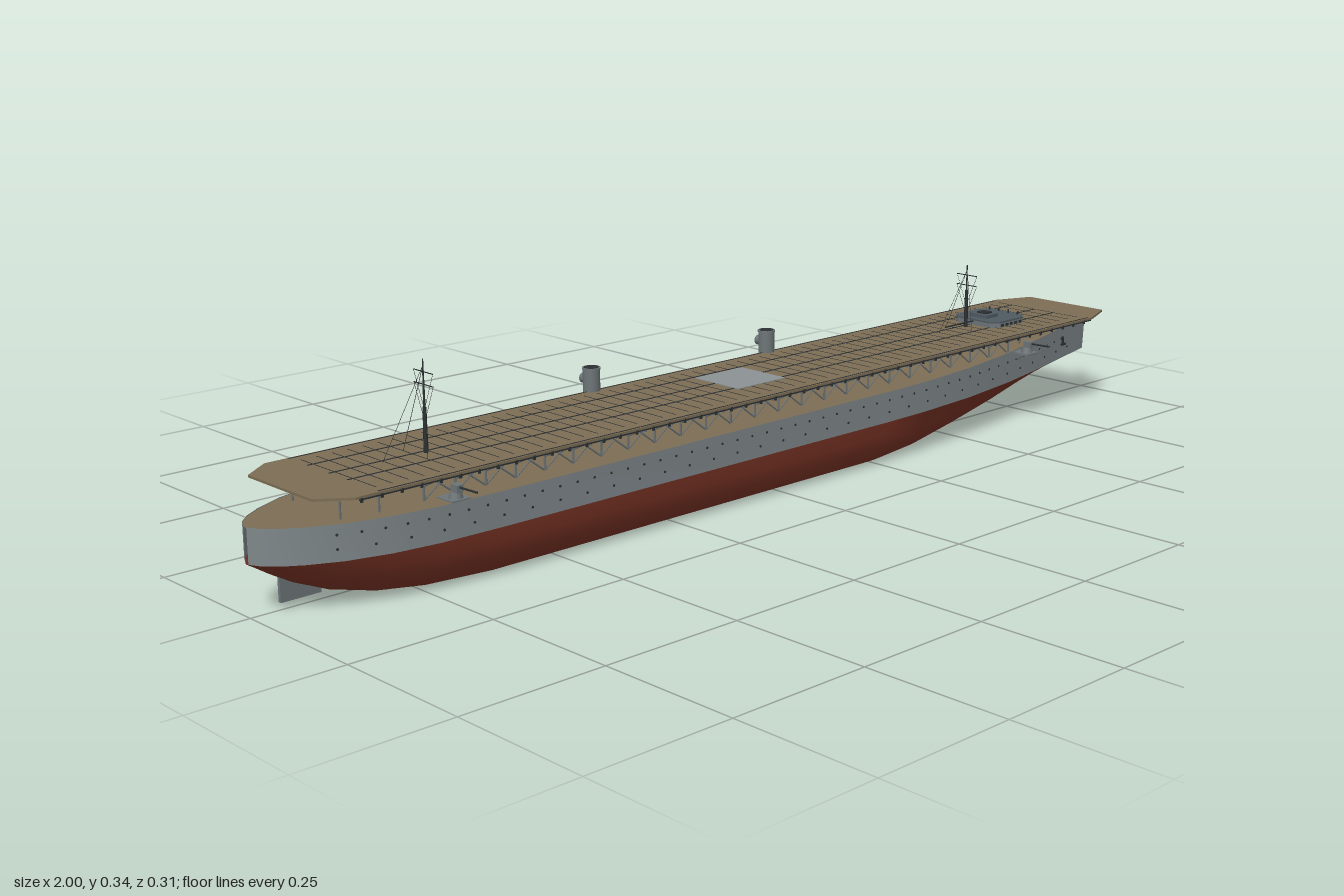
import * as THREE from 'three';
import { mergeGeometries } from 'three/addons/utils/BufferGeometryUtils.js';

const mat = (name, color, side = THREE.FrontSide) => {
  const m = new THREE.MeshStandardMaterial({ color, side });
  m.name = name;
  return m;
};
const V = (x, y, z) => new THREE.Vector3(x, y, z);

// Straight bar of slim section between two points
function bar(a, b, t = 0.003, sides = 4) {
  const d = b.clone().sub(a), g = new THREE.CylinderGeometry(t / 2, t / 2, d.length(), sides);
  g.applyQuaternion(new THREE.Quaternion().setFromUnitVectors(V(0, 1, 0), d.normalize()));
  return g.translate((a.x + b.x) / 2, (a.y + b.y) / 2, (a.z + b.z) / 2);
}
const box = (w, h, d, x, y, z) => new THREE.BoxGeometry(w, h, d).translate(x, y, z);
const cyl = (r1, r2, h, x, y, z, n = 20) => new THREE.CylinderGeometry(r1, r2, h, n).translate(x, y, z);

// Horizontal plate from an outline of [x, z] corners
function slab(points, h, y) {
  const shape = new THREE.Shape(points.map(([a, b]) => new THREE.Vector2(a, b)));
  return new THREE.ExtrudeGeometry(shape, { depth: h, bevelEnabled: false }).rotateX(-Math.PI / 2).translate(0, y, 0);
}

// Hull stations: x, half beam, keel height, sharpness of the section, sheer height
const WL = 0.083;
const STATIONS = [
  [-1, 0.004, 0.082, 0.6, 0.14], [-0.99, 0.024, 0.076, 0.6, 0.14], [-0.97, 0.044, 0.063, 0.5, 0.14],
  [-0.94, 0.064, 0.046, 0.45, 0.14], [-0.89, 0.088, 0.026, 0.35, 0.14], [-0.82, 0.107, 0.011, 0.2, 0.14],
  [-0.74, 0.117, 0.003, 0.1, 0.14], [-0.62, 0.12, 0, 0, 0.14], [0, 0.12, 0, 0, 0.14],
  [0.25, 0.12, 0, 0, 0.14], [0.36, 0.117, 0.005, 0.1, 0.14], [0.5, 0.106, 0.018, 0.3, 0.141],
  [0.65, 0.083, 0.035, 0.5, 0.143], [0.8, 0.05, 0.058, 0.75, 0.146], [0.9, 0.025, 0.074, 0.9, 0.148],
  [0.97, 0.008, 0.081, 1, 0.15], [0.995, 0.002, 0.0825, 1, 0.151],
];
const SECTION = [[0, 0], [0.35, 0], [0.66, 0.02], [0.8, 0.12], [0.91, 0.4], [0.97, 0.7], [1, 1]];

function loft(rings) {
  const n = rings[0].length, idx = [];
  for (let i = 0; i < rings.length - 1; i++)
    for (let j = 0; j < n - 1; j++) {
      const a = i * n + j, b = a + n;
      idx.push(a, b, a + 1, b, b + 1, a + 1);
    }
  const g = new THREE.BufferGeometry();
  g.setAttribute('position', new THREE.Float32BufferAttribute(rings.flat(2), 3));
  g.setIndex(idx);
  g.computeVertexNormals();
  return g;
}
function beamAt(x) {
  for (let i = 1; i < STATIONS.length; i++) {
    const a = STATIONS[i - 1], b = STATIONS[i];
    if (x <= b[0]) return a[1] + ((b[1] - a[1]) * (x - a[0])) / (b[0] - a[0]);
  }
  return 0;
}

export function createModel() {
  const root = new THREE.Group();
  const grey = mat('hull grey', 0x7f878a, THREE.DoubleSide);
  const red = mat('bottom red', 0x7d3526, THREE.DoubleSide);
  const tan = mat('deck tan', 0x7d6e55, THREE.DoubleSide);
  const dark = mat('dark fittings', 0x2c3032);
  const slate = mat('bridge slate', 0x4f5a61);
  const pale = mat('lift grey', 0x8c9294);
  const steel = mat('structure grey', 0x6d7578);
  const add = (name, geo, m) => {
    const list = [geo].flat().map(g => (g.index ? g.toNonIndexed() : g));
    const mesh = new THREE.Mesh(mergeGeometries(list), m);
    mesh.name = name;
    root.add(mesh);
  };

  // Hull: red bottom, grey topsides, weather deck
  add('hullBottom', loft(STATIONS.map(([x, w, k, v]) => {
    const half = SECTION.map(([s, t]) => [x, k + (WL - k) * t, w * (s + (t - s) * v)]);
    return [...half.slice(1).reverse().map(([a, b, c]) => [a, b, -c]), ...half];
  })), red);
  for (const s of [1, -1])
    add('hullSide', loft(STATIONS.map(([x, w, , , top]) => {
      const p = [[x, WL, s * w], [x + (x > 0.9 ? 0.005 : 0), top, s * w]];
      return s > 0 ? p : p.reverse();
    })), grey);
  add('weatherDeck', loft(STATIONS.map(([x, w, , , top]) => [[x, top - 0.001, w], [x, top - 0.001, -w]])), tan);

  // Portholes in two rows, anchors and rudder
  const ports = [], anchors = [];
  for (const s of [1, -1]) {
    for (const [y, step] of [[0.124, 0.035], [0.102, 0.055]])
      for (let x = -0.9; x < 0.92; x += step) {
        const slope = Math.atan2(beamAt(x + 0.01) - beamAt(x - 0.01), 0.02);
        ports.push(new THREE.CylinderGeometry(0.0022, 0.0022, 0.002, 8).rotateX(Math.PI / 2)
          .rotateY(-s * slope).translate(x, y, s * beamAt(x)));
      }
    anchors.push(box(0.004, 0.016, 0.004, 0.89, 0.12, s * (beamAt(0.89) + 0.002)),
      box(0.014, 0.004, 0.006, 0.89, 0.112, s * (beamAt(0.89) + 0.002)));
  }
  add('portholes', ports, dark);
  add('anchors', anchors, dark);
  add('rudder', [box(0.07, 0.045, 0.006, -0.915, 0.034, 0), box(0.012, 0.02, 0.008, -0.9, 0.06, 0)], steel);

  // Flight deck with cut corners
  add('flightDeck', slab([[-0.94, -0.085], [-0.89, -0.122], [0.86, -0.122], [0.935, -0.092],
    [0.935, 0.092], [0.86, 0.122], [-0.89, 0.122], [-0.94, 0.085]], 0.004, 0.183), tan);
  add('aircraftLift', box(0.115, 0.002, 0.11, -0.003, 0.1875, -0.004), pale);
  const lines = [];
  for (const z of [-0.066, -0.008, 0.04]) lines.push(box(1.69, 0.001, 0.003, -0.005, 0.1872, z));
  for (const z of [-0.118, 0.118]) lines.push(box(1.7, 0.001, 0.002, 0, 0.1872, z));
  for (let x = -0.84; x < 0.85; x += 0.028) lines.push(box(0.0012, 0.0006, 0.2, x, 0.1872, 0));
  add('deckLines', lines, dark);

  // Trusswork carrying the flight deck
  const truss = [], step = 0.058, y0 = 0.139, y1 = 0.183;
  for (let i = 0; i <= 24; i++) {
    const x = -0.74 + i * step;
    for (const s of [1, -1]) {
      const z = s * Math.min(0.075, beamAt(x) - 0.004);
      truss.push(bar(V(x, y0, z), V(x, y1, z), 0.005));
      truss.push(bar(V(x, 0.162, z), V(x, y1, s * 0.119), 0.003));
      if (i < 24) {
        const zn = s * Math.min(0.075, beamAt(x + step) - 0.004);
        truss.push(bar(V(x, y0, z), V(x + step, y1, zn)), bar(V(x, y1, z), V(x + step, y0, zn)));
      }
    }
    truss.push(box(0.004, 0.006, 0.238, x, 0.18, 0));
  }
  for (const s of [1, -1]) {
    truss.push(box(1.6, 0.006, 0.004, 0, 0.18, s * 0.075));
    // End supports
    for (const x of [-0.82, -0.88, 0.72, 0.8, 0.87]) {
      const z = beamAt(x) * 0.7;
      truss.push(bar(V(x, y0, s * z), V(x, y1, s * Math.max(z, 0.06)), 0.004));
    }
  }
  add('deckTruss', truss, steel);

  // Brackets and walkway rail along the flight deck edges
  const edge = [];
  for (const s of [1, -1]) {
    for (let x = -0.88; x < 0.87; x += 0.035) edge.push(box(0.004, 0.007, 0.003, x, 0.1805, s * 0.121));
    edge.push(box(1.74, 0.002, 0.002, -0.015, 0.182, s * 0.1225));
  }
  add('deckEdge', edge, dark);

  // Funnels on the right side with their ducts
  for (const x of [-0.245, 0.18]) {
    add('funnel', [cyl(0.015, 0.015, 0.063, x, 0.1965, -0.1215, 24), cyl(0.0162, 0.0162, 0.003, x, 0.2265, -0.1215, 24),
      new THREE.CylinderGeometry(0.009, 0.009, 0.012, 16).rotateX(Math.PI / 2).translate(x, 0.206, -0.138),
      box(0.02, 0.016, 0.04, x, 0.172, -0.1)], steel);
    add('funnelMouth', cyl(0.013, 0.013, 0.001, x, 0.2283, -0.1215), dark);
  }

  // Bridge with windows and lookout
  const octagon = [[0.635, -0.04], [0.65, -0.055], [0.72, -0.055], [0.74, -0.04], [0.74, 0.04],
    [0.72, 0.055], [0.65, 0.055], [0.635, 0.04]];
  add('bridgeHouse', slab(octagon, 0.034, 0.162), steel);
  add('bridgeRoof', [slab(octagon, 0.003, 0.196), box(0.035, 0.007, 0.04, 0.67, 0.2025, 0)], slate);
  add('bridgePedestal', box(0.03, 0.024, 0.02, 0.69, 0.151, 0), steel);
  const panes = [];
  for (let i = -3; i <= 3; i++) panes.push(box(0.002, 0.005, 0.007, 0.74, 0.191, i * 0.0108));
  for (const s of [1, -1])
    for (let i = 0; i < 5; i++) panes.push(box(0.008, 0.005, 0.002, 0.657 + i * 0.014, 0.191, s * 0.055));
  for (const z of [-0.035, -0.012, 0.012, 0.035]) panes.push(cyl(0.0015, 0.0015, 0.008, 0.73, 0.202, z, 8));
  panes.push(bar(V(0.55, 0.195, 0), V(0.64, 0.195, 0), 0.003), box(0.02, 0.004, 0.022, 0.67, 0.207, 0));
  add('bridgeWindowsAndFittings', panes, dark);

  // Masts with yards and stays
  for (const [x, top] of [[-0.68, 0.335], [0.612, 0.31]]) {
    const parts = [cyl(0.001, 0.0035, top - 0.14, x, (top + 0.14) / 2, 0, 8), cyl(0.003, 0.004, 0.075, x, 0.222, 0, 8)];
    for (const d of [0.02, 0.04]) parts.push(bar(V(x, top - d, -0.025), V(x, top - d, 0.025), 0.0018));
    for (const s of [1, -1]) {
      parts.push(bar(V(x, top - 0.01, 0), V(x - 0.02, 0.187, s * 0.032), 0.0009),
        bar(V(x, top - 0.02, s * 0.025), V(x, top - 0.08, 0), 0.0008),
        bar(V(x, top - 0.04, s * 0.025), V(x, top - 0.09, s * 0.004), 0.0008));
    }
    parts.push(bar(V(x, top - 0.01, 0), V(x - 0.08, 0.187, 0), 0.0009));
    add('mast', parts, dark);
  }

  // Side guns on sponsons at both ends
  for (const x of [-0.7, 0.68])
    for (const s of [1, -1]) {
      add('gunMount', [cyl(0.009, 0.012, 0.012, x, 0.145, s * 0.1, 12), box(0.012, 0.012, 0.016, x, 0.157, s * 0.104),
        box(0.035, 0.004, 0.04, x, 0.139, s * 0.095),
        bar(V(x, 0.139, s * 0.1), V(x, 0.12, s * (beamAt(x) - 0.005)), 0.004)], steel);
      add('gunBarrel', bar(V(x, 0.159, s * 0.1), V(x, 0.1605, s * 0.154), 0.0035, 8), dark);
    }

  // Bow winches
  add('bowWinches', [1, -1].flatMap(s => [cyl(0.004, 0.005, 0.009, 0.82, 0.15, s * 0.014, 10),
    box(0.014, 0.006, 0.006, 0.88, 0.15, s * 0.01)]), dark);
  return root;
}
